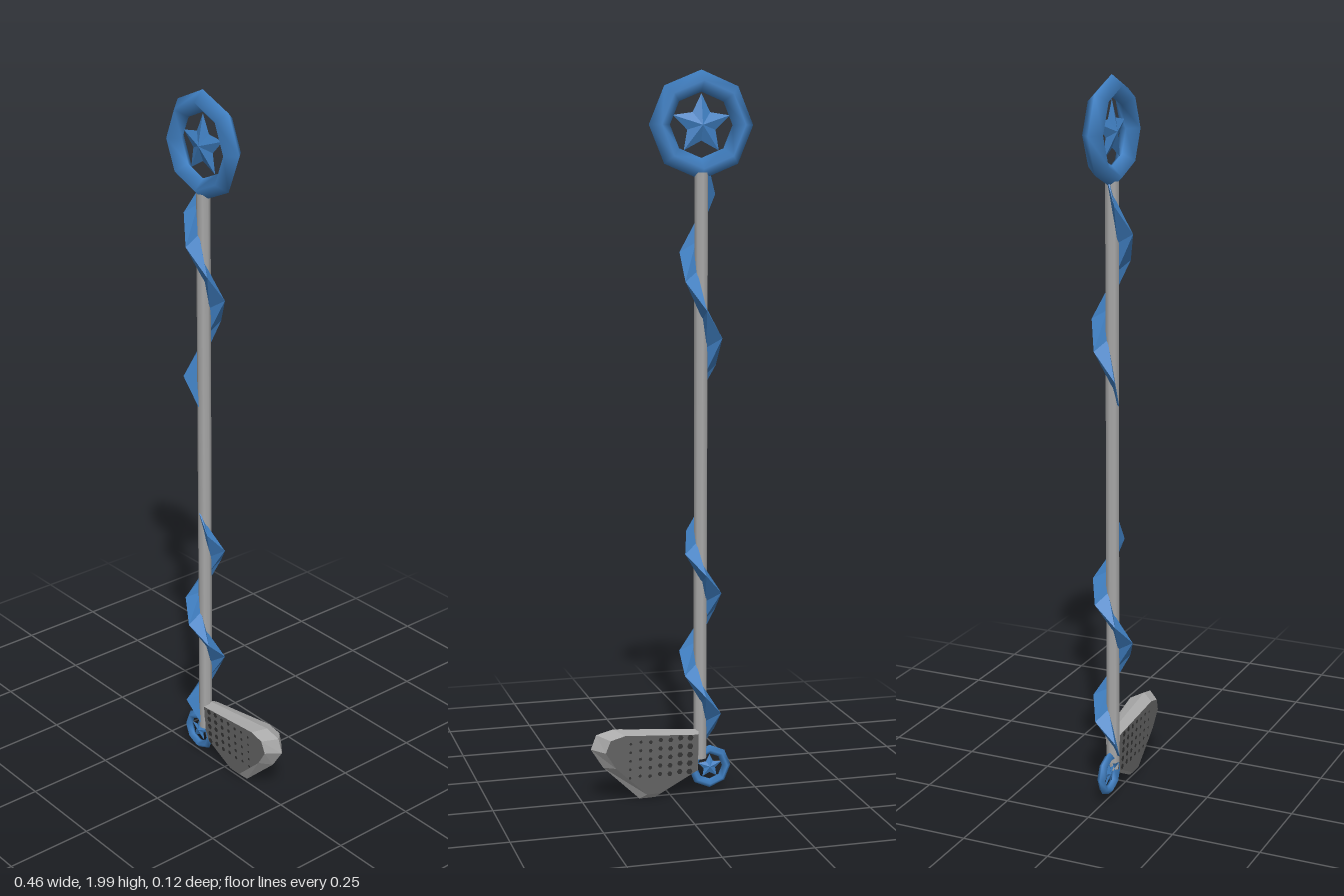
import * as THREE from 'three';

const SX = -0.087; // shaft axis

function mat(name, color, side = THREE.FrontSide) {
  const m = new THREE.MeshStandardMaterial({ color, side });
  m.name = name;
  return m;
}

function flatGeometry(points) {
  const g = new THREE.BufferGeometry().setFromPoints(points);
  g.computeVertexNormals();
  return g;
}

// Skin between successive closed loops of equal length
function loft(loops) {
  const pts = [];
  for (let k = 0; k < loops.length - 1; k++) {
    const a = loops[k], b = loops[k + 1], n = a.length;
    for (let i = 0; i < n; i++) {
      const j = (i + 1) % n;
      pts.push(a[i], a[j], b[j], a[i], b[j], b[i]);
    }
  }
  return flatGeometry(pts);
}

// Flat convex polygon
function fan(loop) {
  const pts = [];
  for (let i = 1; i < loop.length - 1; i++) pts.push(loop[0], loop[i], loop[i + 1]);
  return flatGeometry(pts);
}

// Puffed five-pointed star, ridged on both sides
function starGeometry(r, depth) {
  const rim = [];
  for (let i = 0; i < 10; i++) {
    const a = Math.PI / 2 + i * Math.PI / 5, q = i % 2 ? r * 0.5 : r;
    rim.push(new THREE.Vector3(Math.cos(a) * q, Math.sin(a) * q, 0));
  }
  const front = new THREE.Vector3(0, 0, depth), back = new THREE.Vector3(0, 0, -depth);
  const pts = [];
  rim.forEach((p, i) => {
    const q = rim[(i + 1) % 10];
    pts.push(front, p, q, back, q, p);
  });
  return flatGeometry(pts);
}

// Spiral fin: ridge outside, base sunk in the shaft, six steps per turn
function ribbonGeometry(y0, step, from, to, startR) {
  const loops = [];
  for (let i = from; i <= to; i++) {
    const end = i === from || i === to;
    const r = end ? 0.02 : i === from + 1 ? startR : 0.06;
    const h = end ? 0.004 : 0.026, a = i * Math.PI / 3, y = y0 - i * step;
    const at = (q, yy) => new THREE.Vector3(SX + Math.sin(a) * q, yy, Math.cos(a) * q);
    loops.push([at(0.015, y + h), at(r, y), at(0.015, y - h)]);
  }
  return loft(loops);
}

export function createModel() {
  const model = new THREE.Group();
  const blue = mat('blue', 0x4182c6);
  const ribbonBlue = blue;
  const steel = mat('steel', 0xa8a8a8);
  const dark = mat('darkSteel', 0x686868);
  const black = mat('dimple', 0x333333);
  const add = (name, geo, m, parent = model) => {
    const mesh = new THREE.Mesh(geo, m);
    mesh.name = name;
    parent.add(mesh);
    return mesh;
  };

  // Shaft
  add('shaft', new THREE.CylinderGeometry(0.019, 0.019, 1.63, 8), steel).position.set(SX, 0.925, 0);

  // Star rings at both ends
  const starRing = (name, x, y, R, tube, starR, depth) => {
    const g = new THREE.Group();
    g.name = name;
    g.position.set(x, y, 0);
    add('ring', new THREE.TorusGeometry(R, tube, 4, 8), blue, g);
    add('star', starGeometry(starR, depth), blue, g);
    model.add(g);
  };
  starRing('topRing', SX, 1.856, 0.116, 0.029, 0.083, 0.016);
  starRing('bottomRing', -0.115, 0.083, 0.049, 0.0125, 0.035, 0.007);

  // Spiral ribbons
  add('upperRibbon', ribbonGeometry(1.595, 0.077, -2, 6, 0.055), ribbonBlue);
  add('lowerRibbon', ribbonGeometry(0.47, 0.057, -6, 6, 0.04), ribbonBlue);

  // Club head: wedge thicker toward the top and toe
  const head = new THREE.Group();
  head.name = 'head';
  model.add(head);
  const outline = [[-0.08, 0.195], [0.167, 0.217], [0.215, 0.205], [0.23, 0.165],
    [0.195, 0.11], [0.09, 0.01], [0.045, 0.01], [-0.08, 0.075]];
  const zFront = (x, y) => 0.005 + 0.06 * y;
  const zBack = (x, y) => -(0.012 + 0.1 * y + 0.08 * (x + 0.07));
  const zMid = (x, y) => (zFront(x, y) + zBack(x, y)) / 2;
  const ringAt = (s, z) => outline.map(([px, py]) => {
    const x = -0.04 + (px + 0.04) * s, y = 0.125 + (py - 0.125) * s;
    return new THREE.Vector3(x, y, z(x, y));
  });
  const front = ringAt(0.87, zFront), back = ringAt(0.87, zBack);
  add('headRim', loft([front, ringAt(1, zMid), back]), steel, head);
  add('frontFace', fan([...front].reverse()), dark, head);
  add('backFace', fan(back), dark, head);

  // Dimples shrinking toward the toe, on both faces
  for (let c = 0; c < 7; c++) {
    for (let r = 0; r < 5; r++) {
      const x = -0.05 + c * 0.029, y = 0.08 + r * 0.025 + (c % 2) * 0.003;
      const geo = new THREE.CircleGeometry(0.0088 - c * 0.0008, 6);
      add('frontDimple', geo, black, head).position.set(x, y, zFront(x, y) + 0.002);
      const b = add('backDimple', geo, black, head);
      b.rotation.y = Math.PI;
      b.position.set(x, y, zBack(x, y) - 0.002);
    }
  }

  return model;
}
